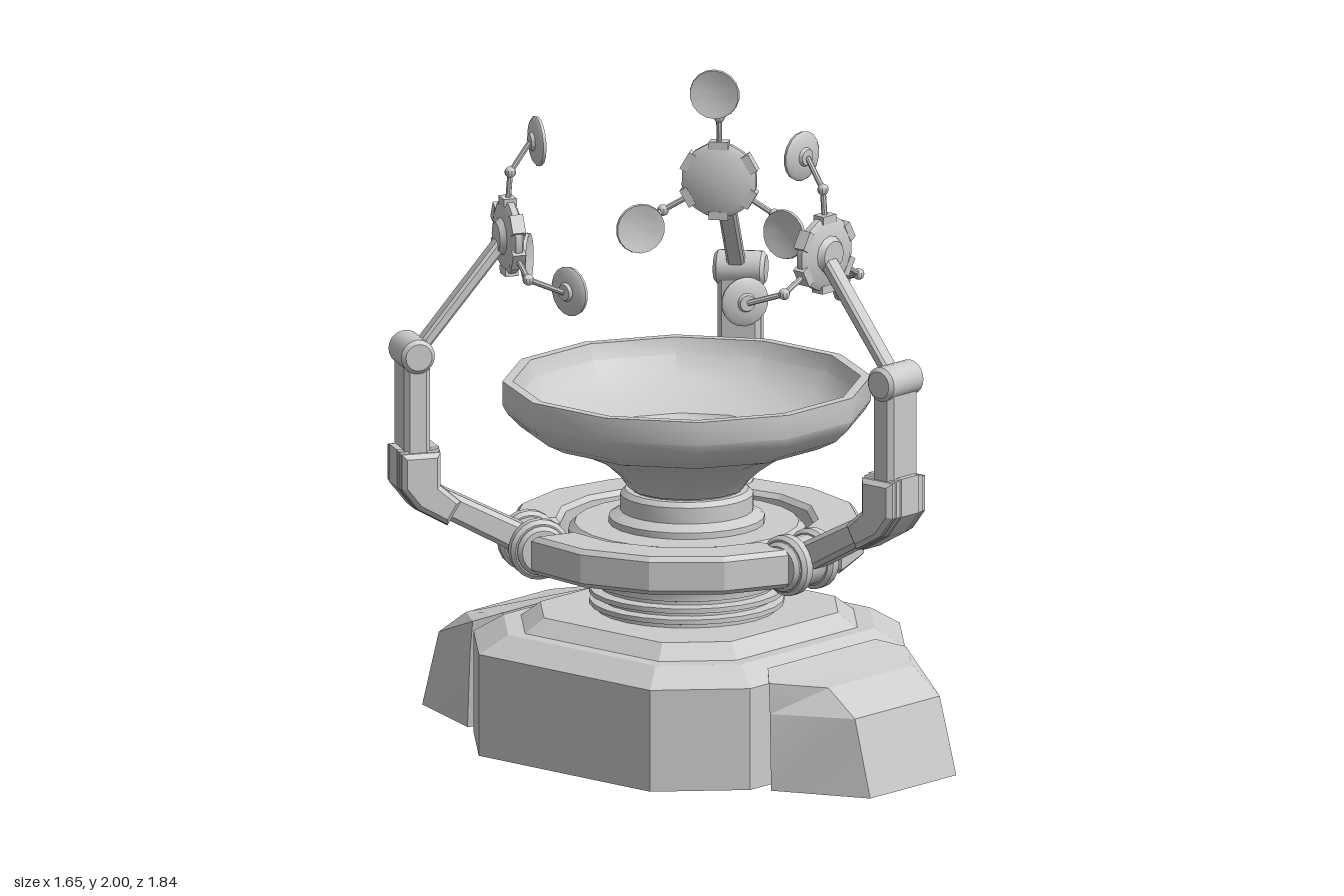
import * as THREE from 'three';
import { toCreasedNormals } from 'three/addons/utils/BufferGeometryUtils.js';

const mat = new THREE.MeshStandardMaterial({ color: 0xcccccc, side: THREE.DoubleSide });
const V = (x, y, z) => new THREE.Vector3(x, y, z);

function add(parent, name, geo, crease = 0.6) {
  const m = new THREE.Mesh(toCreasedNormals(geo, crease), mat);
  m.name = name;
  parent.add(m);
  return m;
}

function lathe(parent, name, pts, sides, phase = 0) {
  return add(parent, name, new THREE.LatheGeometry(pts.map(p => new THREE.Vector2(...p)), sides, phase));
}

// Skin between equal-length rings of [x, y, z] corners, capped at the last ring
function loft(rings) {
  const pos = [], idx = [], n = rings[0].length;
  rings.forEach(r => r.forEach(p => pos.push(...p)));
  for (let i = 0; i < rings.length - 1; i++)
    for (let j = 0; j < n; j++) {
      const a = i * n + j, b = i * n + (j + 1) % n;
      idx.push(a, b, b + n, a, b + n, a + n);
    }
  const top = (rings.length - 1) * n;
  for (let j = 1; j < n - 1; j++) idx.push(top, top + j, top + j + 1);
  const g = new THREE.BufferGeometry();
  g.setAttribute('position', new THREE.Float32BufferAttribute(pos, 3));
  g.setIndex(idx);
  return g.toNonIndexed();
}

// Bevelled plate: outline in (z, y), thickness across x
function plate(parent, name, outline, width, bevel = 0.015) {
  const g = new THREE.ExtrudeGeometry(new THREE.Shape(outline.map(p => new THREE.Vector2(...p))), {
    depth: width - 2 * bevel, bevelThickness: bevel, bevelSize: bevel, bevelOffset: -bevel, bevelSegments: 1,
  });
  g.translate(0, 0, bevel - width / 2).rotateY(-Math.PI / 2);
  return add(parent, name, g, 0.4);
}

function rod(parent, name, a, b, r, sides = 8) {
  const m = add(parent, name, new THREE.CylinderGeometry(r, r, a.distanceTo(b), sides), 0.9);
  m.position.copy(a).lerp(b, 0.5);
  m.quaternion.setFromUnitVectors(V(0, 1, 0), b.clone().sub(a).normalize());
}

// Chamfered cylinder lying across x
function drum(parent, name, y, z, r, width) {
  const h = width / 2, c = 0.012;
  const m = lathe(parent, name, [[0, -h], [r - c, -h], [r, c - h], [r, h - c], [r - c, h], [0, h]], 20);
  m.rotation.z = Math.PI / 2;
  m.position.set(0, y, z);
  return m;
}

function buildBase(root) {
  // Hollow stepped octagonal plinth
  const corners = [[0.58, 0.35], [0.58, -0.35], [0.36, -0.565], [-0.36, -0.565],
    [-0.58, -0.35], [-0.58, 0.35], [-0.36, 0.565], [0.36, 0.565]];
  const steps = [[0, 1], [0.32, 1], [0.375, 0.86], [0.375, 0.78], [0.42, 0.69]];
  add(root, 'plinth', loft(steps.map(([y, s]) => corners.map(([x, z]) => [x * s, y, z * s]))), 0.1);

  // Sloping feet, front and back: front, side and back corners of each level
  const levels = [
    [[0.2, 0, 0.915], [0.325, 0, 0.62], [0.26, 0, 0.575]],
    [[0.197, 0.24, 0.85], [0.322, 0.24, 0.612], [0.255, 0.24, 0.555]],
    [[0.195, 0.32, 0.74], [0.318, 0.335, 0.605], [0.25, 0.36, 0.54]],
  ];
  for (const turn of [0, Math.PI]) {
    const rings = levels.map(half => [...half, ...half.map(([x, y, z]) => [-x, y, z]).reverse()]);
    add(root, turn ? 'backFoot' : 'frontFoot', loft(rings), 0.3).rotation.y = turn;
  }
}

function buildColumn(root) {
  // Ribbed turntable neck, hub and pedestal
  lathe(root, 'column', [
    [0, 0.4], [0.28, 0.4], [0.28, 0.43], [0.3, 0.435], [0.3, 0.45], [0.27, 0.455], [0.27, 0.465],
    [0.3, 0.47], [0.3, 0.485], [0.27, 0.49], [0.27, 0.5], [0.29, 0.505], [0.29, 0.53], [0.3, 0.55],
    [0.3, 0.58], [0.365, 0.61], [0.365, 0.67], [0.345, 0.69], [0.24, 0.69], [0.24, 0.71], [0.205, 0.73],
    [0.205, 0.78], [0.19, 0.795], [0.17, 0.795], [0.17, 0.84], [0, 0.84]], 24);

  // Large twelve-sided bowl
  lathe(root, 'bowl', [
    [0, 0.8], [0.18, 0.8], [0.205, 0.835], [0.25, 0.875], [0.3, 0.91], [0.37, 0.943], [0.45, 0.965],
    [0.51, 0.995], [0.55, 1.035], [0.567, 1.065], [0.567, 1.14], [0.535, 1.14], [0.52, 1.09], [0.47, 1.03],
    [0.39, 0.985], [0.29, 0.96], [0.268, 0.93], [0.215, 0.93], [0.205, 0.942], [0, 0.942]], 12, Math.PI / 12);
}

function buildRing(root, arms) {
  // Three curved ring pieces between the arm pivots
  const outer = 0.545, inner = 0.39, gap = 0.21, steps = 4;
  for (let i = 0; i < 3; i++) {
    const from = arms[i] + gap, to = (i < 2 ? arms[i + 1] : arms[0] + 2 * Math.PI) - gap;
    const pts = [];
    for (const r of [outer, inner])
      for (let k = 0; k <= steps; k++) {
        const t = (r === outer ? k : steps - k) / steps, a = from + (to - from) * t;
        pts.push(new THREE.Vector2(r * Math.sin(a), -r * Math.cos(a)));
      }
    const g = new THREE.ExtrudeGeometry(new THREE.Shape(pts), {
      depth: 0.09, bevelThickness: 0.015, bevelSize: 0.015, bevelOffset: -0.015, bevelSegments: 1 });
    add(root, 'ringSegment', g.rotateX(-Math.PI / 2).translate(0, 0.6, 0), 0.3);
  }
}

function buildEmitter(arm) {
  const head = new THREE.Group();
  head.name = 'emitterHead';
  head.position.set(0.016, 1.63, 0.56);
  head.rotation.x = 0.02;
  arm.add(head);
  // Hub disc facing the axis, with low rim tabs
  const disc = [[0, -0.022], [0.095, -0.022], [0.117, -0.01], [0.117, 0.01], [0.095, 0.022], [0, 0.022]];
  lathe(head, 'hubDisc', disc, 18).rotation.x = -Math.PI / 2;
  lathe(head, 'hubBoss', [[0, -0.04], [0.045, -0.04], [0.06, -0.02], [0, -0.02]], 12).rotation.x = -Math.PI / 2;
  for (let k = 0; k < 6; k++) {
    const a = k * Math.PI / 3, tab = add(head, 'hubTab', new THREE.BoxGeometry(0.06, 0.025, 0.042));
    tab.position.set(-Math.sin(a) * 0.11, Math.cos(a) * 0.11, 0);
    tab.rotation.z = a;
  }
  // Three small dishes on jointed stalks; the lower two turn inward
  for (let k = 0; k < 3; k++) {
    const a = k * 2 * Math.PI / 3, low = k > 0;
    const at = (r, z) => V(-Math.sin(a) * r, Math.cos(a) * r, z);
    const joint = at(0.2, -0.01), tip = at(low ? 0.27 : 0.29, low ? -0.105 : -0.075);
    rod(head, 'stalk', at(0.1, 0), joint, 0.009);
    add(head, 'stalkJoint', new THREE.SphereGeometry(0.018, 10, 8)).position.copy(joint);
    rod(head, 'stalkTip', joint, tip, 0.009);
    const mount = new THREE.Group();
    mount.name = 'smallDishMount';
    mount.position.copy(tip);
    mount.rotation.y = Math.sign(Math.round(Math.sin(a) * 2)) * -0.45;
    head.add(mount);
    const dish = lathe(mount, 'smallDish', [[0, -0.02], [0.025, -0.02], [0.03, -0.01], [0.068, -0.006],
      [0.078, 0.002], [0.076, 0.012], [0.05, 0.006], [0.02, 0.002], [0, 0.002]], 18);
    dish.position.z = -0.018;
    dish.rotation.x = -Math.PI / 2;
  }
}

function buildArm(root, angle) {
  const turn = new THREE.Group(), arm = new THREE.Group();
  turn.name = 'arm';
  turn.rotation.y = angle;
  arm.position.set(-0.024, 0, 0.009);
  turn.add(arm);
  root.add(turn);

  // Pivot on the ring
  drum(arm, 'pivotCore', 0.645, 0.475, 0.078, 0.205);
  for (const s of [-1, 1]) drum(arm, 'pivotFlange', 0.645, 0.475, 0.095, 0.05).position.x = s * 0.06;

  // Lower beam, ribbed elbow casing and upright
  plate(arm, 'lowerBeam', [[0.46, 0.625], [0.48, 0.7], [0.79, 0.86], [0.83, 0.79], [0.56, 0.64]], 0.1);
  const elbow = [[0.925, 0.985], [0.925, 0.865], [0.87, 0.795], [0.765, 0.735], [0.72, 0.81], [0.79, 0.87], [0.79, 0.985]];
  for (const [name, scale, width] of [['elbowCasing', 1, 0.11], ['elbowRib', 0.96, 0.15], ['elbowCheek', 0.92, 0.18]])
    plate(arm, name, elbow.map(([z, y]) => [0.85 + (z - 0.85) * scale, 0.87 + (y - 0.87) * scale]), width, 0.014);
  plate(arm, 'upright', [[0.905, 0.93], [0.905, 1.27], [0.822, 1.27], [0.822, 0.93]], 0.135, 0.015);
  drum(arm, 'upperJoint', 1.28, 0.865, 0.054, 0.16);

  // Slim boom to the emitter head
  const boom = plate(arm, 'boom', [[0.86, 1.3], [0.835, 1.275], [0.565, 1.6], [0.575, 1.635], [0.59, 1.63]], 0.055, 0.008);
  boom.position.x = 0.008;
  buildEmitter(arm);
}

export function createModel() {
  const root = new THREE.Group(), body = new THREE.Group(), column = new THREE.Group();
  root.name = 'dishStation';
  body.name = 'base';
  column.name = 'turntable';
  body.position.x = -0.01;
  column.position.set(-0.01, 0, -0.01);
  root.add(body, column);
  buildBase(body);
  buildColumn(column);
  const rear = THREE.MathUtils.degToRad(122);
  const arms = [0, rear, 2 * Math.PI - rear];
  buildRing(column, arms);
  arms.forEach(a => buildArm(column, a));
  return root;
}
